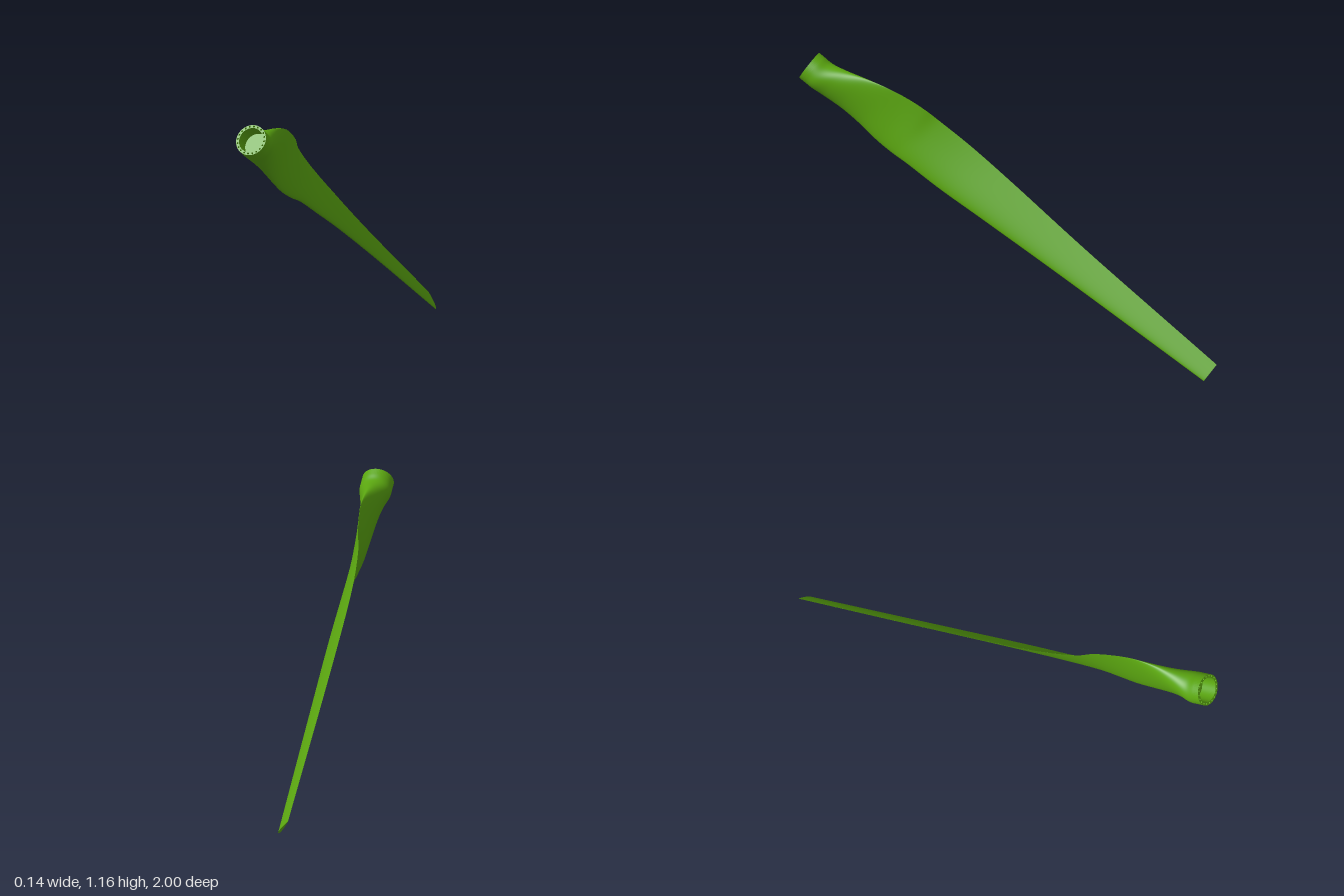
import * as THREE from 'three';

const material = new THREE.MeshStandardMaterial({ color: 0x5aa510 });
const thin = new THREE.MeshStandardMaterial({ color: 0x5aa510, side: THREE.DoubleSide });

// Blade stations: span, upper edge, lower edge, upper edge x, lower edge x, thickness
const STATIONS = [
  [0.03, 0.07, -0.07, 0, 0, 0.14],
  [0.075, 0.07, -0.07, 0, 0, 0.138],
  [0.14, 0.098, -0.071, 0, 0, 0.105],
  [0.23, 0.138, -0.073, 0, -0.005, 0.07],
  [0.33, 0.17, -0.081, -0.005, -0.005, 0.045],
  [0.43, 0.185, -0.089, -0.018, 0.002, 0.038],
  [0.52, 0.186, -0.083, -0.032, 0.012, 0.036],
  [0.61, 0.174, -0.07, -0.05, 0.022, 0.034],
  [0.79, 0.162, -0.06, -0.064, 0.03, 0.03],
  [1.04, 0.145, -0.042, -0.065, 0.03, 0.026],
  [1.5, 0.115, -0.018, -0.055, 0.023, 0.018],
  [2.218, 0.086, 0.01, -0.04, 0.012, 0.01],
];
const ROWS = 110, SIDES = 64;
const curve = (k) => new THREE.CatmullRomCurve3(
  STATIONS.map((s) => new THREE.Vector3(s[k], s[k + 1], s[k + 2])), false, 'catmullrom', 0.5);
const edges = curve(0), section = curve(3);

// Half thickness of a symmetric airfoil, for unit full thickness
const airfoil = (u) => 5 * (0.2969 * Math.sqrt(u) - 0.126 * u - 0.3516 * u ** 2
  + 0.2843 * u ** 3 - 0.1036 * u ** 4);

// One closed cross-section: round at the root, airfoil further out
function crossSection(t) {
  const e = edges.getPoint(t), s = section.getPoint(t);
  const low = new THREE.Vector2(s.y, e.z), high = new THREE.Vector2(s.x, e.y);
  const dir = high.clone().sub(low).normalize();
  const blend = THREE.MathUtils.smoothstep(e.x, 0.06, 0.45);
  const points = [];
  for (let j = 0; j < SIDES; j++) {
    const a = (j / SIDES) * Math.PI * 2;
    const u = (1 - Math.cos(a)) / 2;
    const foil = Math.sign(Math.sin(a)) * Math.max(0, airfoil(u));
    const h = s.z * THREE.MathUtils.lerp(Math.sin(a) / 2, foil, blend);
    const p = low.clone().lerp(high, u);
    points.push(new THREE.Vector3(p.x + dir.y * h, p.y - dir.x * h, -e.x));
  }
  return points;
}

// Skin lofted through the cross-sections
function bladeSkin() {
  const position = [], index = [];
  for (let i = 0; i <= ROWS; i++) {
    for (const p of crossSection(i / ROWS)) position.push(p.x, p.y, p.z);
    if (i === ROWS) break;
    for (let j = 0; j < SIDES; j++) {
      const k = (j + 1) % SIDES;
      const a = i * SIDES + j, b = i * SIDES + k, c = a + SIDES, d = b + SIDES;
      index.push(a, c, b, b, c, d);
    }
  }
  const g = new THREE.BufferGeometry();
  g.setAttribute('position', new THREE.Float32BufferAttribute(position, 3));
  g.setIndex(index);
  g.computeVertexNormals();
  return g;
}

// Root flange with a ring of bolt holes
function flange(outer, inner, depth) {
  const shape = new THREE.Shape().absarc(0, 0, outer, 0, Math.PI * 2);
  shape.holes.push(new THREE.Path().absarc(0, 0, inner, 0, Math.PI * 2, true));
  const r = (outer + inner) / 2, count = 20;
  for (let i = 0; i < count; i++) {
    const a = (i / count) * Math.PI * 2;
    shape.holes.push(new THREE.Path().absarc(r * Math.cos(a), r * Math.sin(a), 0.0042, 0, Math.PI * 2, true));
  }
  return new THREE.ExtrudeGeometry(shape, { depth, bevelEnabled: false, curveSegments: 32 })
    .translate(0, 0, -depth);
}

export function createModel() {
  const group = new THREE.Group();
  group.name = 'turbineBlade';
  const add = (name, geometry, mat = material) => {
    const mesh = new THREE.Mesh(geometry, mat);
    mesh.name = name;
    group.add(mesh);
  };

  add('bladeSkin', bladeSkin());

  const tip = new THREE.Shape(crossSection(1).map((p) => new THREE.Vector2(p.x, p.y)));
  add('tipCap', new THREE.ShapeGeometry(tip).translate(0, 0, -2.218), thin);

  // Hollow root: flange, bore and bore floor
  add('rootFlange', flange(0.07, 0.056, 0.03));
  add('rootBore', new THREE.CylinderGeometry(0.056, 0.056, 0.045, 64, 1, true)
    .rotateX(Math.PI / 2).translate(0, 0, -0.0525), thin);
  add('boreFloor', new THREE.CircleGeometry(0.056, 64).translate(0, 0, -0.075), thin);

  // Lean the blade 30 degrees, root end up and forward
  group.rotation.x = -Math.PI / 6;
  group.position.set(0, 1.1, 0.965);
  const model = new THREE.Group();
  model.add(group);
  return model;
}
